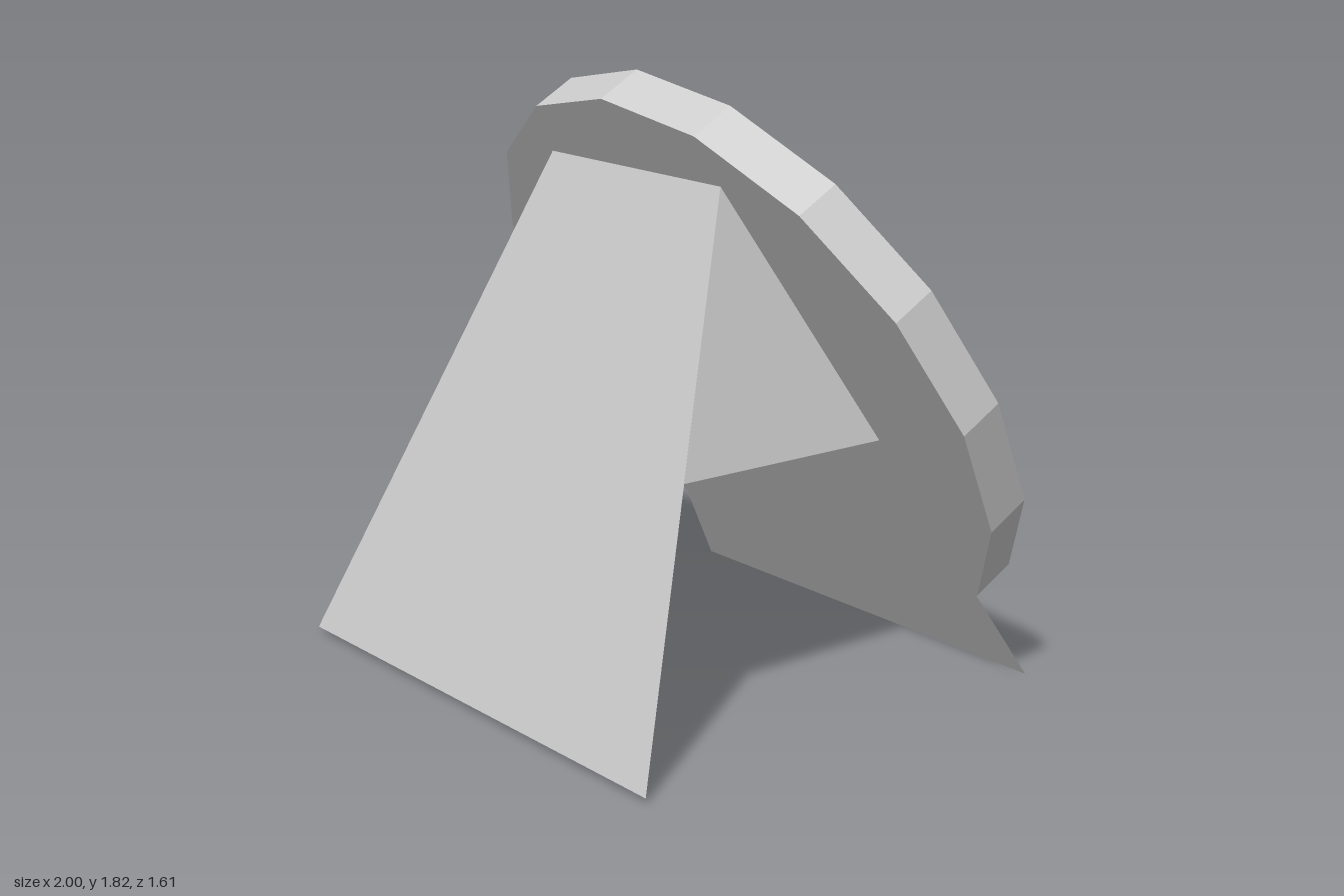
import * as THREE from 'three';

const solid = new THREE.MeshStandardMaterial({ color: 0xcccccc, flatShading: true });
const sheet = new THREE.MeshStandardMaterial({ color: 0xcccccc, flatShading: true, side: THREE.DoubleSide });

// Thin flat panel spanning the given corners (counter-clockwise from outside)
function panel(name, corners) {
  const geometry = new THREE.BufferGeometry();
  geometry.setAttribute('position', new THREE.Float32BufferAttribute(corners.flat(), 3));
  geometry.setIndex(corners.length === 4 ? [0, 1, 2, 0, 2, 3] : [0, 1, 2]);
  geometry.computeVertexNormals();
  const mesh = new THREE.Mesh(geometry, sheet);
  mesh.name = name;
  return mesh;
}

export function createModel() {
  const model = new THREE.Group();
  model.name = 'tiltedDiscOnStand';

  // Sixteen-sided disc with a raised rim around a recessed face
  const profile = [[0, 0], [1, 0], [1, 0.148], [0.89, 0.148], [0.89, 0.088], [0, 0.088]]
    .map(([r, h]) => new THREE.Vector2(r, h));
  const disc = new THREE.Mesh(new THREE.LatheGeometry(profile, 16), solid);
  disc.name = 'disc';
  disc.rotation.x = -Math.PI / 3;
  disc.position.set(0, 0.88, -0.185);
  model.add(disc);

  // Stand: two tapering legs meeting along a top ridge
  const topLeft = [0.405, 1.535, 0.2], topRight = [-0.41, 1.535, 0.2];
  model.add(panel('frontLeg', [[-0.872, 0.02, 0.8], [0.85, 0.02, 0.8], topLeft, topRight]));
  model.add(panel('backLeg', [[0.765, 0.004, -0.692], [-0.765, 0.004, -0.692], topRight, topLeft]));

  // Triangular side braces between the legs
  model.add(panel('leftBrace', [[0.626, 0.78, 0.5], [0.587, 0.77, -0.245], topLeft]));
  model.add(panel('rightBrace', [[-0.587, 0.77, -0.245], [-0.64, 0.78, 0.5], topRight]));

  return model;
}
